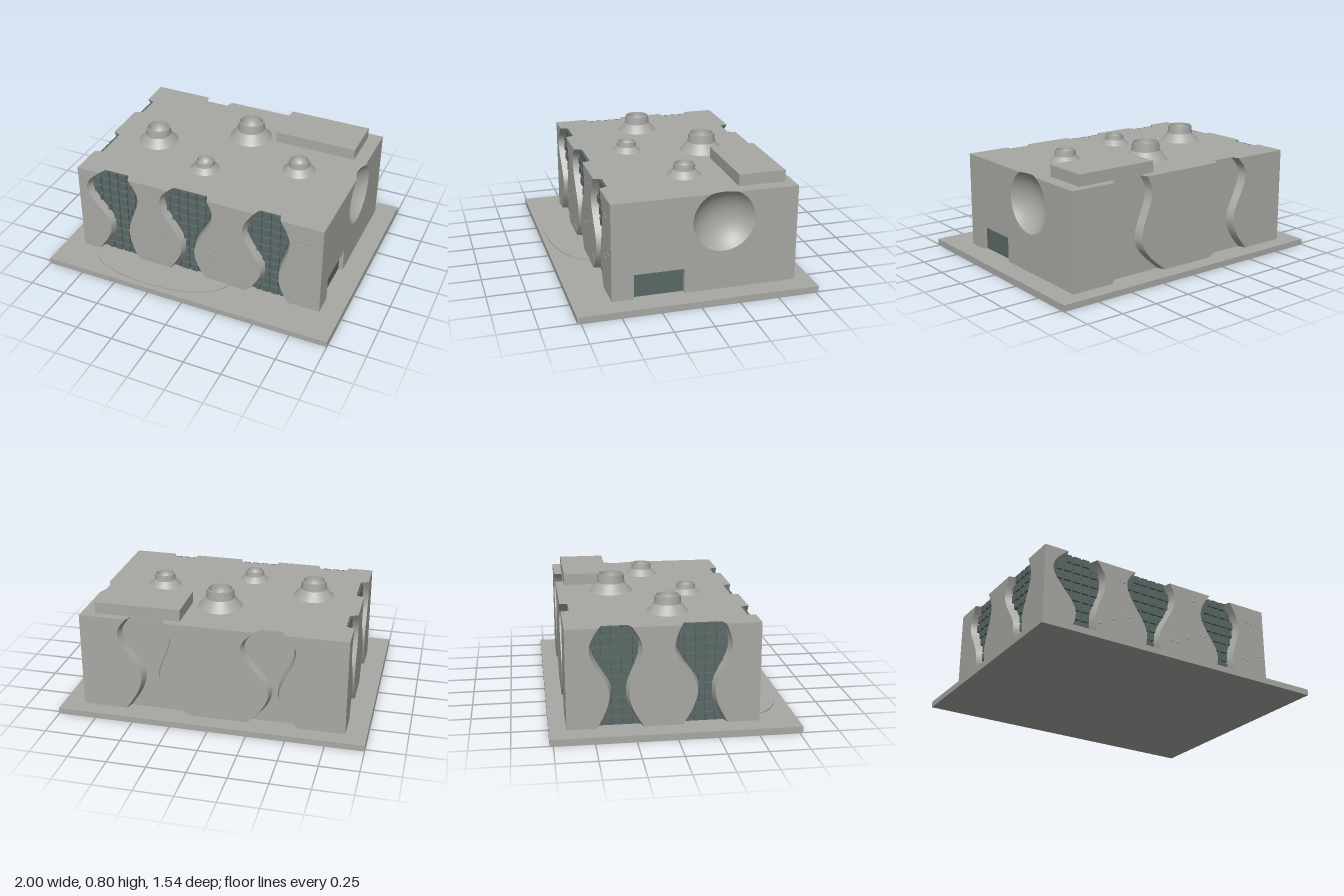
import * as THREE from 'three';
import { mergeGeometries } from 'three/addons/utils/BufferGeometryUtils.js';

const Y0 = 0.04, Y1 = 0.675, DEPTH = 0.052, TAPER = 0.018, STEPS = 32;
const concrete = new THREE.MeshStandardMaterial({ color: 0xa8a9a4, side: THREE.DoubleSide });
concrete.name = 'concrete';
const panel = new THREE.MeshStandardMaterial({ color: 0x5a6967, side: THREE.DoubleSide });
panel.name = 'dark panel';

// Wavy groove edge; keys are [bottom, waist, bulge, top]
function edge([bottom, waist, bulge, top], y, yWaist, yBulge) {
  const ease = t => 1 - Math.cos(t * Math.PI / 2);
  if (y < yWaist) return waist + (bottom - waist) * ease((yWaist - y) / (yWaist - Y0));
  if (y > yBulge) return bulge + (top - bulge) * ease((y - yBulge) / (Y1 - yBulge));
  return THREE.MathUtils.lerp(waist, bulge, THREE.MathUtils.smoothstep(y, yWaist, yBulge));
}

const heights = Array.from({ length: STEPS + 1 }, (_, i) => Y0 + (Y1 - Y0) * i / STEPS);
const groove = (left, right, yWaist, yBulge) => ({
  l: y => edge(left, y, yWaist, yBulge),
  r: y => edge(right, y, yWaist, yBulge),
});

// Spherical dimple in the right wall (local u = -z)
const DIM = { u: 0.185, y: 0.495, r: 0.2, R: 0.25, c: 0.15 };
const dimTop = Y1 - DIM.y;
const dimHalf = Math.sqrt(DIM.r ** 2 - dimTop ** 2);
const dimDepth = r2 => Math.sqrt(Math.max(DIM.R ** 2 - r2, 0)) - DIM.c;

// Four walls, each drawn in its own (u, y) plane with +z outward
const walls = [
  { name: 'frontWall', rot: 0, pos: [0, 0, 0.53], u0: -0.865, u1: 0.86, dark: true, grooves: [
    groove([-0.75, -0.64, -0.805, -0.7], [-0.435, -0.5, -0.425, -0.49], 0.26, 0.54),
    groove([-0.21, -0.115, -0.265, -0.2], [0.06, -0.02, 0.11, 0.075], 0.24, 0.57),
    groove([0.35, 0.45, 0.32, 0.4], [0.64, 0.575, 0.64, 0.575], 0.23, 0.51)] },
  { name: 'rightWall', rot: Math.PI / 2, pos: [0.86, 0, 0], u0: -0.53, u1: 0.665, dimple: true, grooves: [] },
  { name: 'backWall', rot: Math.PI, pos: [0, 0, -0.665], u0: -0.86, u1: 0.865, grooves: [
    groove([-0.57, -0.46, -0.61, -0.55], [-0.15, -0.34, -0.26, -0.3], 0.28, 0.57),
    groove([0.24, 0.37, 0.19, 0.28], [0.56, 0.44, 0.54, 0.47], 0.26, 0.56)] },
  { name: 'leftWall', rot: -Math.PI / 2, pos: [-0.865, 0, 0], u0: -0.665, u1: 0.53, dark: true, grooves: [
    groove([-0.48, -0.4, -0.52, -0.46], [-0.19, -0.28, -0.2, -0.26], 0.26, 0.54),
    groove([0.05, 0.14, 0, 0.04], [0.33, 0.25, 0.35, 0.31], 0.26, 0.54)] },
];

function mesh(parent, name, geo, mat, x = 0, y = 0, z = 0) {
  const m = new THREE.Mesh(geo, mat);
  m.name = name;
  m.position.set(x, y, z);
  parent.add(m);
  return m;
}

const flat = pts => new THREE.ShapeGeometry(new THREE.Shape(pts.map(p => new THREE.Vector2(...p))));

// Smooth surface over equal-length rows of points
function loft(rows) {
  const n = rows[0].length, index = [];
  for (let i = 0; i < rows.length - 1; i++) for (let j = 0; j < n - 1; j++) {
    const a = i * n + j, b = a + n;
    index.push(a, b, a + 1, b, b + 1, a + 1);
  }
  const g = new THREE.BufferGeometry();
  g.setAttribute('position', new THREE.Float32BufferAttribute(rows.flat(2), 3));
  g.setIndex(index);
  g.computeVertexNormals();
  return g;
}

// Raised square tiles, trimmed to the groove outline
function tiles(g) {
  const pitch = 0.064, size = 0.05, parts = [];
  for (let y = Y0 + 0.007; y < Y1 - 0.02; y += pitch) {
    const top = Math.min(y + size, Y1);
    const lo = Math.max(g.l(y), g.l(top)) + TAPER, hi = Math.min(g.r(y), g.r(top)) - TAPER;
    for (let u = Math.floor(lo / pitch) * pitch; u < hi; u += pitch) {
      const a = Math.max(u, lo), b = Math.min(u + size, hi);
      if (b - a < 0.008) continue;
      parts.push(new THREE.BoxGeometry(b - a, top - y, 0.016).translate((a + b) / 2, (y + top) / 2, -DEPTH + 0.008));
    }
  }
  return mergeGeometries(parts);
}

function buildWall(w) {
  const wall = new THREE.Group();
  wall.name = w.name;
  wall.rotation.y = w.rot;
  wall.position.set(...w.pos);
  // Flat faces between the grooves
  if (!w.dimple) for (let i = 0; i <= w.grooves.length; i++) {
    const left = i ? w.grooves[i - 1].r : () => w.u0;
    const right = i < w.grooves.length ? w.grooves[i].l : () => w.u1;
    mesh(wall, 'wallFace', flat([...heights.map(y => [left(y), y]).reverse(), ...heights.map(y => [right(y), y])]), concrete);
  }
  // Sloped groove sides and floor
  for (const g of w.grooves) {
    const li = y => g.l(y) + TAPER, ri = y => g.r(y) - TAPER;
    mesh(wall, 'grooveLeftSide', loft(heights.map(y => [[g.l(y), y, 0], [li(y), y, -DEPTH]])), concrete);
    mesh(wall, 'grooveRightSide', loft(heights.map(y => [[ri(y), y, -DEPTH], [g.r(y), y, 0]])), concrete);
    mesh(wall, 'grooveFloor', flat([...heights.map(y => [li(y), y]).reverse(), ...heights.map(y => [ri(y), y])]),
      w.dark ? panel : concrete, 0, 0, -DEPTH);
    if (w.dark) mesh(wall, 'grooveTiles', tiles(g), panel);
  }
  if (w.dimple) buildRightDetails(wall, w);
  return wall;
}

// Right wall: dimple open at the top edge and a recessed dark hatch
function buildRightDetails(wall, w) {
  const a0 = Math.atan2(dimTop, -dimHalf), a1 = Math.atan2(dimTop, dimHalf) + Math.PI * 2;
  const arc = Array.from({ length: 49 }, (_, i) => {
    const a = a0 + (a1 - a0) * i / 48;
    return [DIM.u + DIM.r * Math.cos(a), DIM.y + DIM.r * Math.sin(a)];
  });
  const h0 = -0.39, h1 = -0.067, hy = 0.203, d = -0.03;
  mesh(wall, 'wallFace', flat([[w.u0, Y0], [h0, Y0], [h0, hy], [h1, hy], [h1, Y0], [w.u1, Y0], [w.u1, Y1],
    ...arc.reverse(), [w.u0, Y1]]), concrete);
  const rows = [];
  for (let i = 0; i <= 16; i++) rows.push(Array.from({ length: 65 }, (_, j) => {
    const a = j / 64 * Math.PI * 2, s = Math.sin(a);
    const r = Math.min(DIM.r, s > 0 ? dimTop / s : 9) * i / 16;
    return [DIM.u + r * Math.cos(a), DIM.y + r * s, -dimDepth(r * r)];
  }));
  mesh(wall, 'dimple', loft(rows), concrete);
  mesh(wall, 'hatch', new THREE.PlaneGeometry(h1 - h0, hy - Y0), panel, (h0 + h1) / 2, (hy + Y0) / 2, d);
  [[[h0, Y0], [h0, hy]], [[h0, hy], [h1, hy]], [[h1, hy], [h1, Y0]]].forEach(([p, q]) =>
    mesh(wall, 'hatchReveal', loft([[[...p, 0], [...p, d]], [[...q, 0], [...q, d]]]), concrete));
}

// Roof outline of one wall as (u, depth) points
function roofEdge(w) {
  const pts = [[w.u0, 0]];
  for (const g of w.grooves) {
    const l = g.l(Y1), r = g.r(Y1);
    pts.push([l, 0], [l + TAPER, -DEPTH], [r - TAPER, -DEPTH], [r, 0]);
  }
  if (w.dimple) for (let i = 0; i <= 16; i++) {
    const t = -dimHalf + 2 * dimHalf * i / 16;
    pts.push([DIM.u + t, -dimDepth(t * t + dimTop ** 2)]);
  }
  return pts;
}

export function createModel() {
  const model = new THREE.Group();
  model.name = 'building';
  mesh(model, 'basePlate', new THREE.BoxGeometry(2, Y0, 1.545), concrete, 0, Y0 / 2, 0);

  const outline = [];
  for (const w of walls) {
    const wall = buildWall(w);
    wall.updateMatrix();
    model.add(wall);
    for (const [u, d] of roofEdge(w)) {
      const p = new THREE.Vector3(u, 0, d).applyMatrix4(wall.matrix);
      outline.push([p.x, -p.z]);
    }
  }
  mesh(model, 'roof', flat(outline).rotateX(-Math.PI / 2), concrete, 0, Y1, 0);
  mesh(model, 'roofBox', new THREE.BoxGeometry(0.56, 0.075, 0.305), concrete, 0.49, Y1 + 0.0375, -0.458);

  // Roof vents: flared foot, collar and rounded bowl: x, z, foot, collar, height
  for (const [x, z, foot, r, h] of [[0.025, -0.305, 0.145, 0.09, 0.12], [-0.535, 0, 0.133, 0.083, 0.107],
    [-0.095, 0.188, 0.096, 0.062, 0.066], [0.478, -0.042, 0.108, 0.068, 0.081]]) {
    const vent = new THREE.Group();
    vent.name = 'roofVent';
    vent.position.set(x, Y1, z);
    model.add(vent);
    const lathe = (name, pts) => mesh(vent, name, new THREE.LatheGeometry(pts.map(p => new THREE.Vector2(...p)), 48), concrete);
    const neck = h * 0.52, inner = r * 0.86;
    lathe('ventFoot', [[foot, 0], [r * 1.04, neck]]);
    lathe('ventCollar', [[r * 1.04, neck], [r * 0.97, h]]);
    lathe('ventRim', [[r * 0.97, h], [inner, h]]);
    lathe('ventBowl', Array.from({ length: 13 }, (_, i) => {
      const a = i / 12 * Math.PI / 2;
      return [inner * Math.cos(a), h - h * 0.85 * Math.sin(a)];
    }));
  }

  // Low rounded step in front
  const step = mesh(model, 'frontStep', new THREE.CylinderGeometry(1, 1, 0.008, 64, 1, false, -Math.PI / 2, Math.PI),
    concrete, -0.27, Y0 + 0.004, 0.53);
  step.scale.set(0.49, 1, 0.21);

  // Small studs on the front wall
  const studs = [[-0.815, 0.09], [-0.463, 0.24], [-0.372, 0.29], [-0.323, 0.578], [-0.291, 0.572], [-0.275, 0.342],
    [-0.243, 0.337], [-0.233, 0.107], [-0.195, 0.102], [0.083, 0.262], [0.12, 0.257], [0.211, 0.31], [0.259, 0.594],
    [0.307, 0.358], [0.345, 0.353], [0.356, 0.128], [0.388, 0.123], [0.671, 0.278], [0.703, 0.273], [0.719, 0.562],
    [0.751, 0.556], [0.767, 0.326], [0.799, 0.321]];
  for (const [x, y] of studs) {
    mesh(model, 'stud', new THREE.SphereGeometry(0.008, 12, 8), concrete, x, y, 0.53).scale.z = 0.5;
  }
  return model;
}
